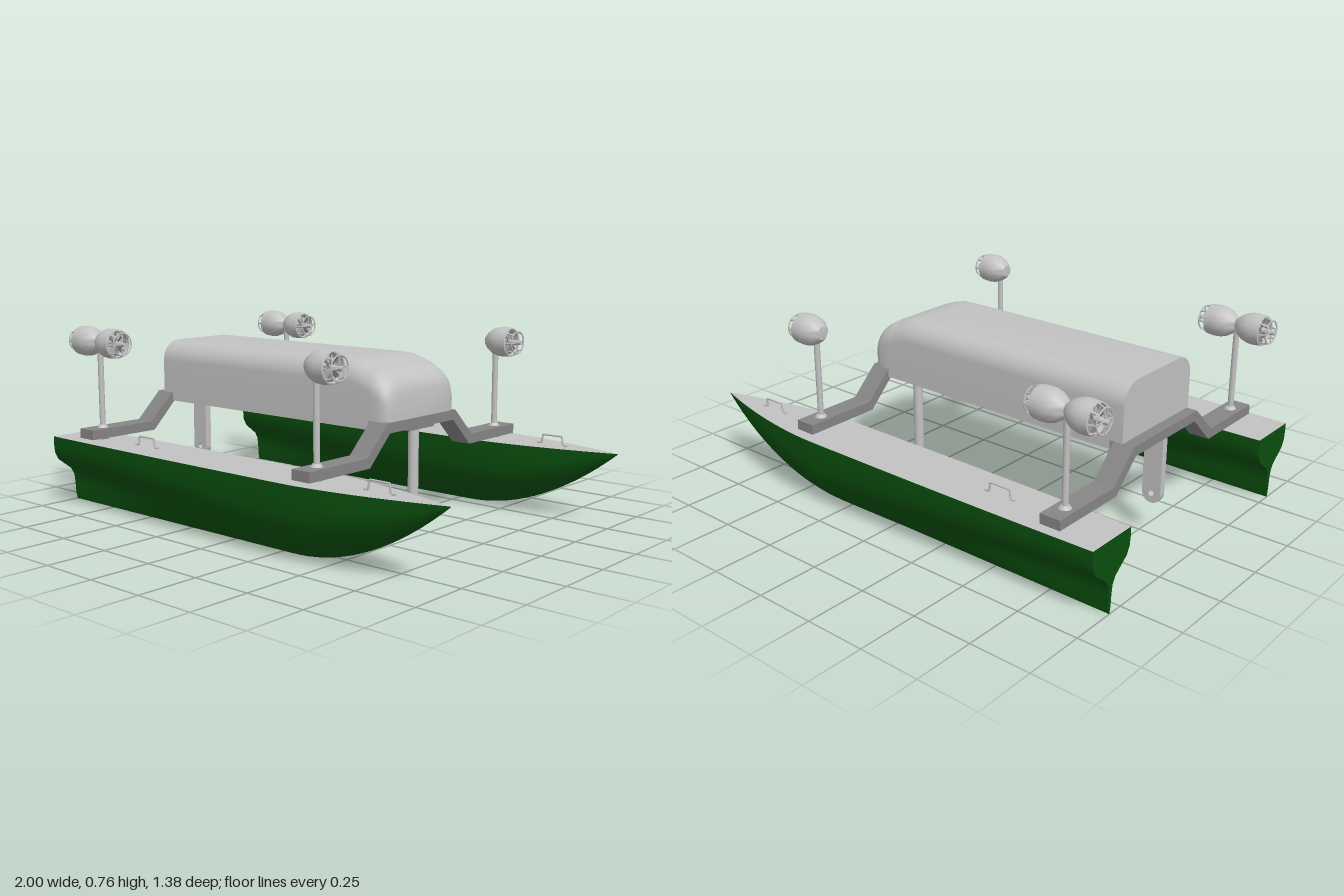
import * as THREE from 'three';
import { toCreasedNormals } from 'three/addons/utils/BufferGeometryUtils.js';

const mat = (name, color) => new THREE.MeshStandardMaterial({ name, color, side: THREE.DoubleSide });
const DECK_Y = 0.29, HULL_Z = 0.565, REAR_X = -0.803, FRONT_X = 0.415;

// Skin a list of equal-length [x, y, z] rows; caps fan from the middle of each end's opening.
function loft(rows, caps = false, crease = 0.6) {
  const pos = [];
  const tri = (a, b, c) => pos.push(...a, ...b, ...c);
  for (let i = 0; i < rows.length - 1; i++) {
    for (let j = 0; j < rows[i].length - 1; j++) {
      const a = rows[i][j], b = rows[i + 1][j], c = rows[i + 1][j + 1], d = rows[i][j + 1];
      tri(a, b, d);
      tri(b, c, d);
    }
  }
  if (caps) {
    [rows[0], rows[rows.length - 1]].forEach((r, end) => {
      const p = r[0], q = r[r.length - 1];
      const mid = p.map((v, k) => (v + q[k]) / 2);
      for (let j = 0; j < r.length - 1; j++) {
        if (end) tri(mid, r[j + 1], r[j]);
        else tri(mid, r[j], r[j + 1]);
      }
    });
  }
  const geo = new THREE.BufferGeometry();
  geo.setAttribute('position', new THREE.Float32BufferAttribute(pos, 3));
  return toCreasedNormals(geo, crease);
}

function add(parent, name, geo, material, x = 0, y = 0, z = 0) {
  const mesh = new THREE.Mesh(geo, material);
  mesh.name = name;
  mesh.position.set(x, y, z);
  parent.add(mesh);
  return mesh;
}

// Half sections from keel to deck as [width, height] fractions.
const STERN = [[0, 0], [0.05, 0.1], [0.07, 0.25], [0.11, 0.38], [0.25, 0.48], [0.55, 0.57], [0.82, 0.65], [0.97, 0.76], [1, 0.88], [1, 1]];
const MIDSHIP = [[0, 0], [0.16, 0.04], [0.36, 0.12], [0.55, 0.22], [0.72, 0.33], [0.86, 0.45], [0.94, 0.56], [0.98, 0.7], [1, 0.85], [1, 1]];

function hull(light, green) {
  const g = new THREE.Group();
  g.name = 'hull';
  const sides = [], deck = [];
  for (let i = 0; i <= 48; i++) {
    const x = -1 + i / 24;
    const s = Math.max(0, (x - 0.3) / 0.7), t = Math.max(0, (x - 0.35) / 0.65);
    const keel = DECK_Y * s * s;
    const aft = Math.max(0, -x);
    const w = (0.123 - 0.012 * aft * aft) * (1 - Math.pow(t, 1.7));
    const k = THREE.MathUtils.smoothstep(x, -1, 0.25);
    const half = STERN.map((p, j) => [
      w * THREE.MathUtils.lerp(p[0], MIDSHIP[j][0], k),
      keel + (DECK_Y - keel) * THREE.MathUtils.lerp(p[1], MIDSHIP[j][1], k)]);
    sides.push([
      ...half.slice(1).reverse().map(([z, y]) => [x, y, -z]),
      ...half.map(([z, y]) => [x, y, z])]);
    deck.push([[x, DECK_Y + 0.001, w], [x, DECK_Y + 0.001, -w]]);
  }
  add(g, 'hullShell', loft(sides, true, 0.8), green);
  add(g, 'deck', loft(deck), light);

  // Bent-rod deck handles
  for (const x of [-0.517, 0.702]) {
    const path = new THREE.CurvePath();
    const pts = [[-0.07, 0.004], [-0.05, 0.004], [-0.044, 0.04], [0.044, 0.04], [0.05, 0.004], [0.07, 0.004]]
      .map(([px, py]) => new THREE.Vector3(px, py, 0));
    for (let i = 1; i < pts.length; i++) path.add(new THREE.LineCurve3(pts[i - 1], pts[i]));
    add(g, 'deckHandle', new THREE.TubeGeometry(path, 60, 0.004, 8), light, x, DECK_Y, 0);
  }
  return g;
}

function cabin(light, grey) {
  const g = new THREE.Group();
  g.name = 'cabin';
  const W = 0.223;
  // [x, floor height, roof height, half width]
  const stations = [
    [-0.8, 0.455, 0.68, W], [-0.745, 0.455, 0.68, W], [-0.744, 0.42, 0.68, W], [0.24, 0.42, 0.68, W],
    [0.28, 0.42, 0.678, W], [0.32, 0.42, 0.668, W], [0.369, 0.42, 0.65, W], [0.37, 0.455, 0.65, W],
    [0.41, 0.455, 0.627, W], [0.435, 0.455, 0.607, 0.217], [0.45, 0.455, 0.585, 0.203], [0.457, 0.455, 0.56, 0.18]];
  const shell = [], floor = [];
  for (const [x, bottom, top, w] of stations) {
    const r = Math.min(0.085, (top - bottom) * 0.7), row = [[x, bottom, w]];
    for (const side of [1, -1]) {
      for (let i = 0; i <= 10; i++) {
        const a = (side > 0 ? i : 10 - i) / 10 * Math.PI / 2;
        row.push([x, top - r + r * Math.sin(a), side * (w - r + r * Math.cos(a))]);
      }
    }
    row.push([x, bottom, -w]);
    shell.push(row);
    floor.push([[x, bottom, -w], [x, bottom, w]]);
  }
  add(g, 'cabinShell', loft(shell, true), light);
  add(g, 'cabinFloor', loft(floor), grey);
  return g;
}

// Cranked beam joining both hulls to the cabin
function crossBeam(grey) {
  const top = [[0.65, 0.34], [0.335, 0.34], [0.216, 0.455]];
  const bottom = [[0.203, 0.415], [0.32, 0.3], [0.65, 0.3]];
  const right = [...top, ...bottom];
  const left = right.map(([z, y]) => [-z, y]).reverse();
  const pts = [...left.slice(3), ...left.slice(0, 3)];
  const outline = [...bottom, ...top, ...pts].map(([z, y]) => new THREE.Vector2(-z, y));
  const geo = new THREE.ExtrudeGeometry(new THREE.Shape(outline), { depth: 0.086, bevelEnabled: false });
  geo.translate(0, 0, -0.043);
  geo.rotateY(Math.PI / 2);
  return geo;
}

// Ducted fan built along +y, then turned to face +x or -x
function thruster(dir, light, grey) {
  const g = new THREE.Group();
  g.name = 'thruster';
  const profile = [[0.001, 0], [0.026, 0.002], [0.04, 0.016], [0.053, 0.036], [0.061, 0.06], [0.063, 0.085],
    [0.06, 0.118], [0.055, 0.12], [0.053, 0.08], [0.001, 0.075]].map(([r, y]) => new THREE.Vector2(r, y));
  add(g, 'duct', toCreasedNormals(new THREE.LatheGeometry(profile, 32), 0.7), light);
  add(g, 'fanHub', new THREE.CylinderGeometry(0.009, 0.013, 0.09, 16), light, 0, 0.12, 0);
  const ring = add(g, 'guardRing', new THREE.TorusGeometry(0.046, 0.003, 6, 32), light, 0, 0.147, 0);
  ring.rotation.x = Math.PI / 2;
  for (let i = 0; i < 8; i++) {
    const a = i * Math.PI / 4;
    const arm = new THREE.Group();
    arm.name = 'fanArm';
    arm.rotation.y = a;
    const blade = add(arm, 'fanBlade', new THREE.BoxGeometry(0.042, 0.003, 0.018), grey, 0.03, 0.105, 0);
    blade.rotation.x = 0.6;
    const rib = add(arm, 'guardRib', new THREE.BoxGeometry(0.004, 0.034, 0.005), light, 0.052, 0.132, 0);
    rib.rotation.z = 0.38;
    if (i % 2 === 0) add(arm, 'guardSpoke', new THREE.BoxGeometry(0.046, 0.004, 0.005), light, 0.023, 0.147, 0);
    g.add(arm);
  }
  g.rotation.z = -dir * Math.PI / 2;
  return g;
}

export function createModel() {
  const model = new THREE.Group();
  model.name = 'catamaran';
  const light = mat('lightGrey', 0xc2c2c2), grey = mat('midGrey', 0x868686), green = mat('hullGreen', 0x0a4f0e);

  model.add(cabin(light, grey));
  const beam = crossBeam(grey);
  add(model, 'rearBeam', beam, grey, REAR_X);
  add(model, 'frontBeam', beam, grey, FRONT_X + 0.001);

  for (const side of [1, -1]) {
    const h = hull(light, green);
    h.position.z = side * HULL_Z;
    model.add(h);

    // Masts with two fans at the stern and one at the bow
    for (const x of [REAR_X, FRONT_X]) {
      const z = side * HULL_Z;
      add(model, 'mast', new THREE.CylinderGeometry(0.012, 0.012, 0.41, 20), light, x, 0.495, z);
      add(model, 'mastCollar', new THREE.CylinderGeometry(0.015, 0.024, 0.012, 20), light, x, 0.346, z);
      add(model, 'mastFoot', new THREE.CylinderGeometry(0.022, 0.022, 0.012, 20), grey, x, 0.295, z);
      const fans = x === REAR_X ? [[1, 0], [-1, 0]] : [[1, -0.04]];
      for (const [dir, dx] of fans) {
        const t = thruster(dir, light, grey);
        t.position.set(x + dx, 0.7, z);
        model.add(t);
      }
    }
  }

  // Sensor pole under the front beam
  add(model, 'poleBracket', new THREE.BoxGeometry(0.08, 0.01, 0.16), grey, FRONT_X, 0.411, 0);
  add(model, 'sensorPole', new THREE.CylinderGeometry(0.021, 0.021, 0.4, 24), light, FRONT_X, 0.212, 0);

  // Drilled fin under the rear beam
  const fin = new THREE.Shape();
  fin.moveTo(0.04, 0.418);
  fin.lineTo(-0.04, 0.418);
  fin.lineTo(-0.04, 0.18);
  fin.absarc(0, 0.18, 0.04, Math.PI, Math.PI * 2, false);
  fin.holes.push(new THREE.Path().absarc(0, 0.18, 0.012, 0, Math.PI * 2, true));
  const finGeo = new THREE.ExtrudeGeometry(fin, { depth: 0.03, bevelEnabled: false, curveSegments: 16 });
  add(model, 'rearFin', finGeo, light, REAR_X, 0, -0.015);
  return model;
}
